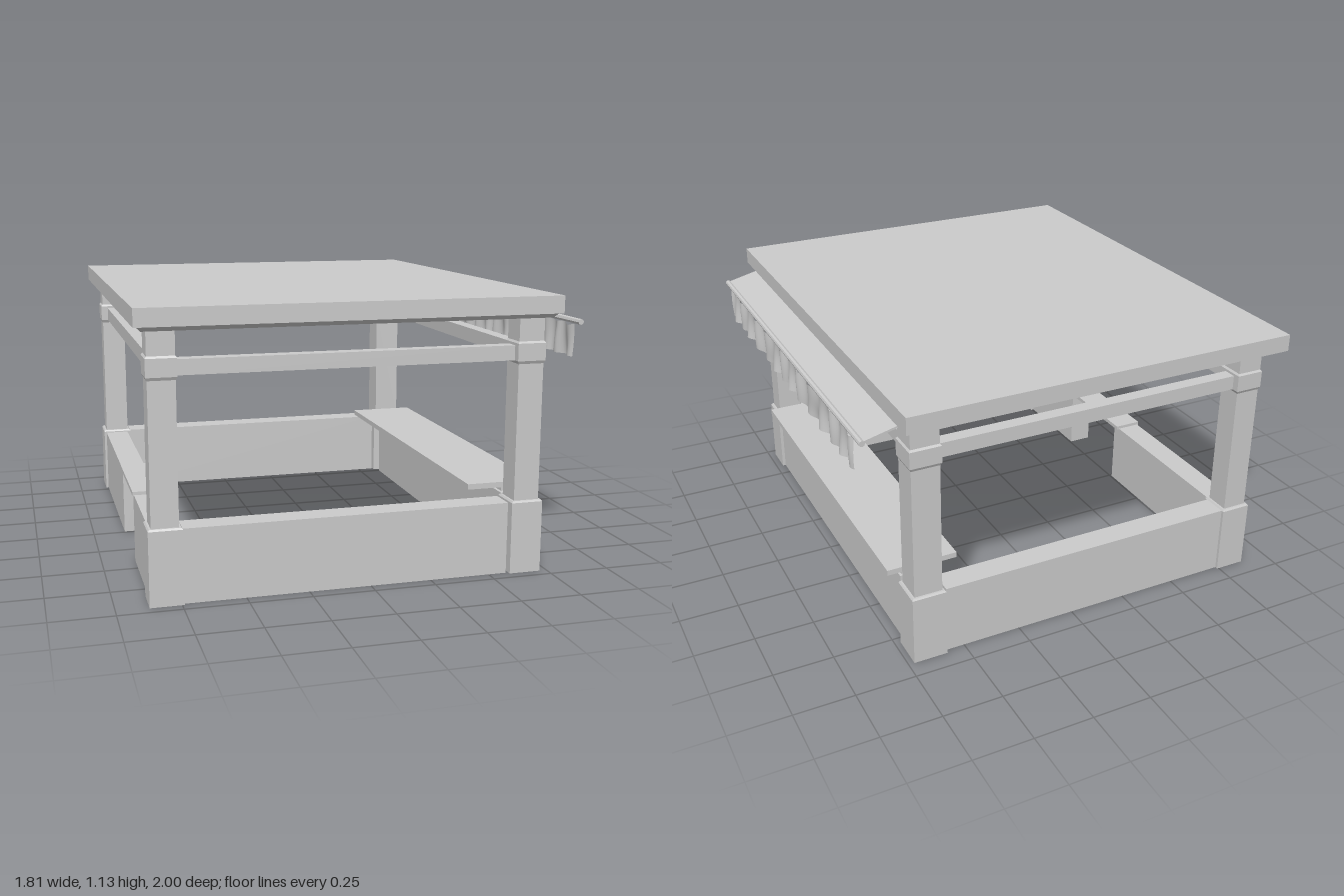
import * as THREE from 'three';

const flat = new THREE.MeshStandardMaterial({ color: 0xcccccc, flatShading: true });
const cloth = new THREE.MeshStandardMaterial({ color: 0xcccccc, side: THREE.DoubleSide });

export function createModel() {
  const model = new THREE.Group();
  model.name = 'marketStall';

  const add = (name, geometry, material = flat) => {
    const mesh = new THREE.Mesh(geometry, material);
    mesh.name = name;
    model.add(mesh);
    return mesh;
  };

  // Box given by its extents on each axis
  const box = (name, [x0, x1], [y0, y1], [z0, z1]) =>
    add(name, new THREE.BoxGeometry(x1 - x0, y1 - y0, z1 - z0))
      .position.set((x0 + x1) / 2, (y0 + y1) / 2, (z0 + z1) / 2);

  // Square column from [half width, height] pairs
  const column = (name, x, z, profile) => {
    const points = profile.map(([h, y]) => new THREE.Vector2(h * Math.SQRT2, y));
    const geometry = new THREE.LatheGeometry(points, 4).rotateY(Math.PI / 4);
    add(name, geometry).position.set(x, 0, z);
  };

  // Corner posts: plinth, shaft and collar
  const posts = [
    ['frontLeftPost', 0.653, 0.892, 0.053],
    ['frontRightPost', -0.807, 0.892, 0.053],
    ['backLeftPost', 0.653, -0.852, 0.059],
    ['backRightPost', -0.807, -0.852, 0.053],
  ];
  for (const [name, x, z, h] of posts) {
    const p = h + 0.013;
    const c = h + 0.006;
    column(name, x, z, [
      [0, 0], [p, 0], [p, 0.295], [p - 0.005, 0.302], [h, 0.302],
      [h, 0.858], [c, 0.87], [c, 0.94], [h, 0.948], [h, 1.05], [0, 1.05],
    ]);
  }

  // Roof slab with a tapered underside
  box('roofSlab', [-0.91, 0.76], [1.06, 1.13], [-1, 1]);
  const under = new THREE.BoxGeometry(1.65, 0.02, 1.97);
  const pos = under.attributes.position;
  for (let i = 0; i < pos.count; i++) {
    if (pos.getY(i) < 0) {
      pos.setX(i, pos.getX(i) * 0.975);
      pos.setZ(i, pos.getZ(i) * 0.98);
    }
  }
  add('roofUnderside', under).position.set(-0.075, 1.051, 0);

  // Rails between the collars
  for (const [name, z] of [['frontRail', 0.892], ['backRail', -0.852]])
    box(name, [-0.76, 0.6], [0.87, 0.93], [z - 0.028, z + 0.028]);
  for (const [name, x] of [['leftRail', 0.653], ['rightRail', -0.807]])
    box(name, [x - 0.028, x + 0.028], [0.87, 0.93], [-0.8, 0.84]);

  // Low walls, with a doorway on the right side
  box('frontWall', [-0.745, 0.575], [0, 0.295], [0.84, 0.945]);
  box('backWall', [-0.745, 0.575], [0, 0.295], [-0.905, -0.8]);
  box('counterWall', [0.602, 0.705], [0, 0.3], [-0.752, 0.828]);
  box('rightWallBack', [-0.862, -0.757], [0, 0.29], [-0.79, -0.01]);
  box('rightWallFront', [-0.862, -0.757], [0, 0.29], [0.4, 0.83]);
  box('doorwayFlap', [-0.868, -0.745], [0.287, 0.304], [-0.05, 0.425]);

  // Serving counter
  box('counterSupport', [0.615, 0.695], [0.3, 0.32], [-0.74, 0.79]);
  box('counterTop', [0.46, 0.76], [0.32, 0.343], [-0.755, 0.805]);

  // Sloping awning and its end bar
  const awning = new THREE.Shape([[0.7, 1.052], [0.885, 1.007], [0.887, 1.015], [0.7, 1.061]]
    .map(([x, y]) => new THREE.Vector2(x, y)));
  add('awning', new THREE.ExtrudeGeometry(awning, { depth: 1.79, bevelEnabled: false }))
    .position.z = -0.895;
  const bar = add('awningBar', new THREE.CylinderGeometry(0.012, 0.012, 1.8, 8).rotateX(Math.PI / 2));
  bar.position.set(0.888, 1.01, 0);

  // Hanging cloth: scalloped top edge, folds that deepen downward
  const valance = new THREE.PlaneGeometry(1.65, 1, 140, 10).rotateY(Math.PI / 2);
  const v = valance.attributes.position;
  for (let i = 0; i < v.count; i++) {
    const z = v.getZ(i);
    const t = 0.5 - v.getY(i);
    const top = 0.985 + 0.012 * Math.abs(Math.cos(z * 26));
    const fold = Math.sin(z * 52 + 1.2 * Math.sin(z * 9)) * (0.006 + 0.006 * t)
      + 0.004 * Math.sin(z * 31 + 3 * t);
    v.setXYZ(i, 0.888 + fold, top + (0.861 - top) * t, z + 0.015);
  }
  valance.computeVertexNormals();
  add('valance', valance, cloth);

  return model;
}
